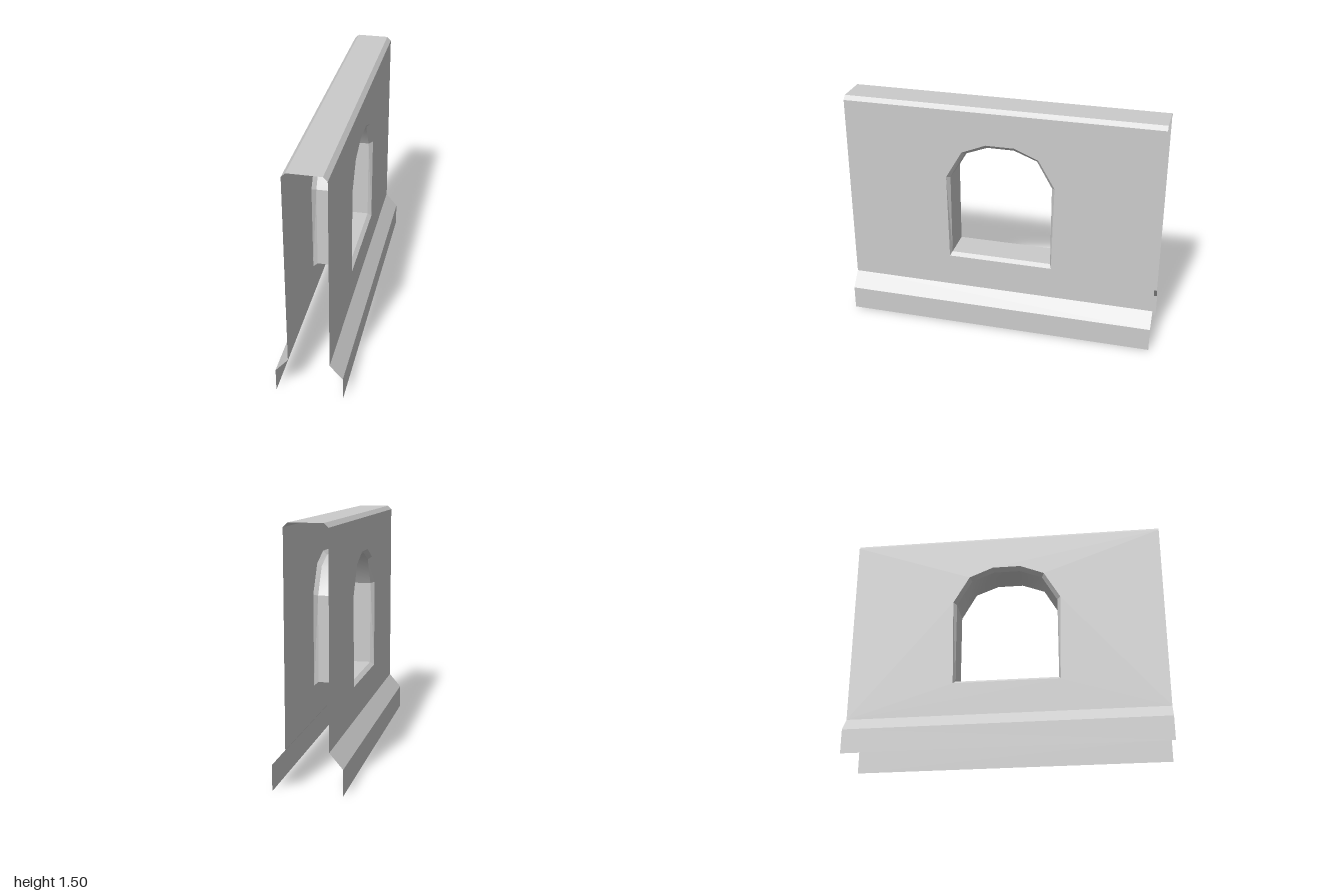
import * as THREE from 'three';

const HALF_LENGTH = 1;
const WALL_X = 0.125;   // outer wall faces
const REVEAL_X = 0.1;   // inner edge of the bevels
const SKIRT_X = 0.203;

// Window outlines as [z, y]: along the sill, then up and over the arch
const outline = (sillZ, sillY, arch) => [
  [sillZ, sillY], [-sillZ, sillY],
  ...arch.map(([z, y]) => [-z, y]),
  ...arch.slice().reverse(),
];
const outer = outline(0.337, 0.457, [[0.347, 1.024], [0.243, 1.203], [0.09, 1.266]]);
const inner = outline(0.326, 0.477, [[0.326, 1.016], [0.229, 1.186], [0.084, 1.242]]);

const flatMaterial = new THREE.MeshStandardMaterial({ color: 0xcccccc, flatShading: true, side: THREE.DoubleSide });
const smoothMaterial = new THREE.MeshStandardMaterial({ color: 0xcccccc, side: THREE.DoubleSide });

// Band of quads between two polylines of [x, y, z]
function strip(name, a, b, material = flatMaterial) {
  const n = a.length;
  const index = [];
  for (let i = 0; i < n - 1; i++) index.push(i, i + 1, n + i + 1, i, n + i + 1, n + i);
  const geometry = new THREE.BufferGeometry();
  geometry.setAttribute('position', new THREE.Float32BufferAttribute([...a, ...b].flat(), 3));
  geometry.setIndex(index);
  geometry.computeVertexNormals();
  const mesh = new THREE.Mesh(geometry, material);
  mesh.name = name;
  return mesh;
}

// [x, y] profile drawn along the whole length
const along = (name, profile) => strip(name,
  profile.map(([x, y]) => [x, y, HALF_LENGTH]),
  profile.map(([x, y]) => [x, y, -HALF_LENGTH]));

// Window outline placed at a given x
const at = (x, points) => points.map(([z, y]) => [x, y, z]);

// Flat wall face with the window cut out
function wall(name, side) {
  const shape = new THREE.Shape([[-HALF_LENGTH, 0.244], [HALF_LENGTH, 0.244], [HALF_LENGTH, 1.475], [-HALF_LENGTH, 1.475]]
    .map(([u, y]) => new THREE.Vector2(u, y)));
  shape.holes.push(new THREE.Path(outer.map(([z, y]) => new THREE.Vector2(z, y))));
  const mesh = new THREE.Mesh(new THREE.ShapeGeometry(shape), flatMaterial);
  mesh.name = name;
  mesh.rotation.y = side * Math.PI / 2;
  mesh.position.x = side * WALL_X;
  return mesh;
}

export function createModel() {
  const model = new THREE.Group();
  model.name = 'windowWall';

  // Walls, crown and flared skirts; ends and underside stay open
  model.add(
    wall('leftWall', 1),
    wall('rightWall', -1),
    along('crown', [[-WALL_X, 1.475], [-REVEAL_X, 1.5], [REVEAL_X, 1.5], [WALL_X, 1.475]]),
    along('leftSkirt', [[WALL_X, 0.244], [SKIRT_X, 0.153], [SKIRT_X, 0]]),
    along('rightSkirt', [[-SKIRT_X, 0], [-SKIRT_X, 0.153], [-WALL_X, 0.244]]),
  );

  // Bevelled window edges
  const outerLoop = [...outer, outer[0]];
  const innerLoop = [...inner, inner[0]];
  model.add(
    strip('leftWindowBevel', at(WALL_X, outerLoop), at(REVEAL_X, innerLoop)),
    strip('rightWindowBevel', at(-REVEAL_X, innerLoop), at(-WALL_X, outerLoop)),
  );

  // Window tunnel: flat sill and jambs, smooth arch
  const tunnel = (name, points, material) =>
    strip(name, at(REVEAL_X, points), at(-REVEAL_X, points), material);
  model.add(
    tunnel('sill', innerLoop.slice(0, 2)),
    tunnel('backJamb', innerLoop.slice(1, 3)),
    tunnel('archSoffit', innerLoop.slice(2, 8), smoothMaterial),
    tunnel('frontJamb', innerLoop.slice(7, 9)),
  );

  return model;
}
